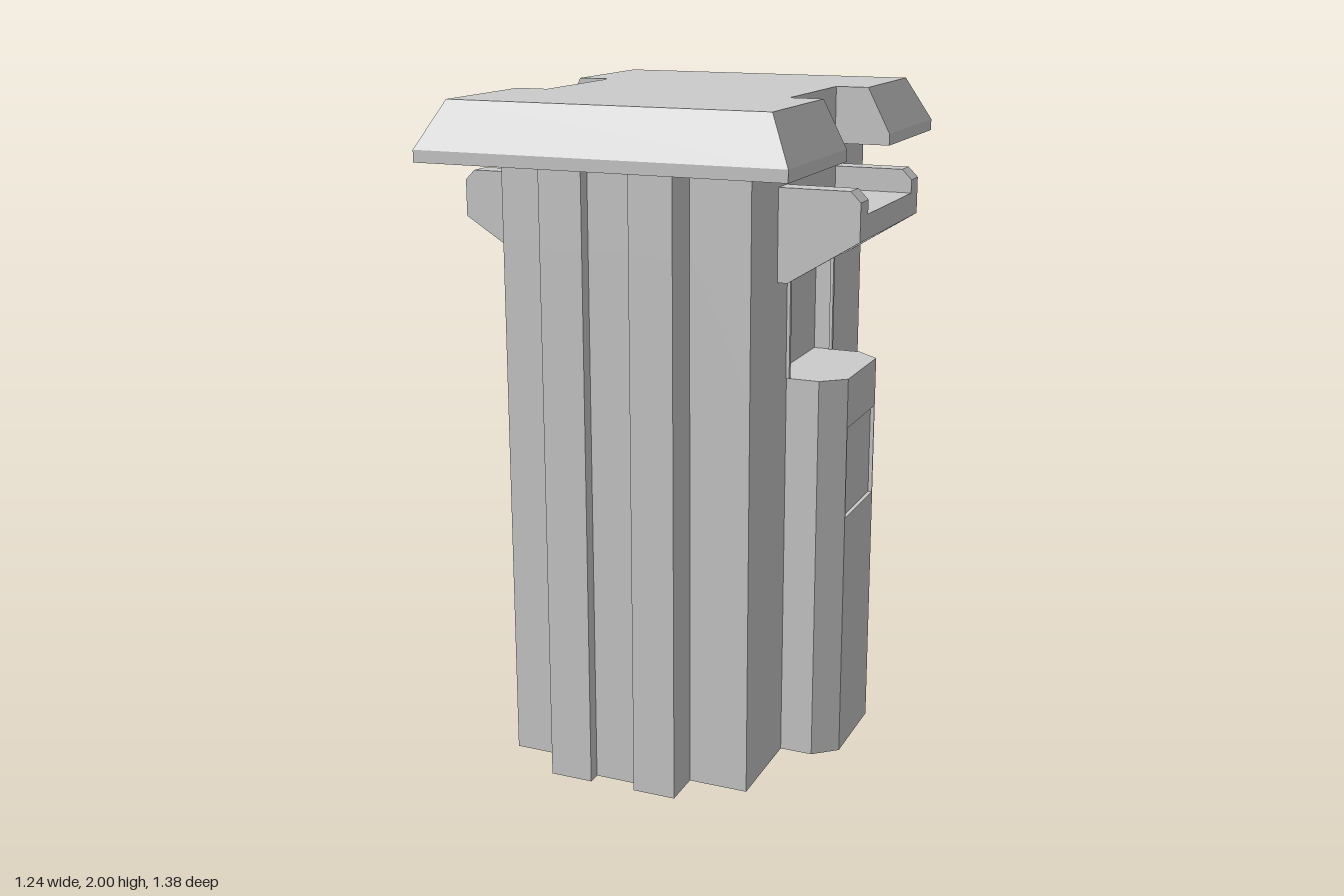
import * as THREE from 'three';

const mat = new THREE.MeshStandardMaterial({ color: 0xcccccc, flatShading: true, side: THREE.DoubleSide });

const shapeOf = (pts) => new THREE.Shape(pts.map(([a, b]) => new THREE.Vector2(a, b)));

function add(parent, name, geometry) {
  const mesh = new THREE.Mesh(geometry, mat);
  mesh.name = name;
  parent.add(mesh);
  return mesh;
}

// Upright walls along an (x, z) outline, open at top and bottom
function walls(pts, y0, y1, closed = true) {
  const pos = [];
  const n = pts.length;
  for (let i = 0; i < (closed ? n : n - 1); i++) {
    const [ax, az] = pts[i];
    const [bx, bz] = pts[(i + 1) % n];
    pos.push(ax, y0, az, ax, y1, az, bx, y1, bz, ax, y0, az, bx, y1, bz, bx, y0, bz);
  }
  const g = new THREE.BufferGeometry();
  g.setAttribute('position', new THREE.Float32BufferAttribute(pos, 3));
  g.computeVertexNormals();
  return g;
}

// Horizontal surface with an (x, z) outline
function flat(pts, y) {
  const g = new THREE.ShapeGeometry(shapeOf(pts.map(([x, z]) => [x, -z])));
  return g.rotateX(-Math.PI / 2).translate(0, y, 0);
}

// Side pedestal with a shallow inset panel on its outer face
function pedestal(name, base, shoulder, outer) {
  const g = new THREE.Group();
  g.name = name;
  const p = 0.135, d = outer - 0.012;
  const half = [[base, 0.2], [shoulder, 0.2], [outer, 0.14]];
  if (shoulder === base) half.shift();
  const back = half.map(([x, z]) => [x, -z]).reverse();
  const plain = [...half, ...back];
  const notch = [[outer, p], [d, p], [d, -p], [outer, -p]];
  add(g, 'pedestalLower', walls(plain, 0, 0.76, false));
  add(g, 'insetPanel', walls([...half, ...notch, ...back], 0.76, 1.04, false));
  add(g, 'pedestalUpper', walls(plain, 1.04, 1.19, false));
  add(g, 'pedestalTop', flat(plain, 1.19));
  for (const y of [0.76, 1.04]) add(g, 'panelLedge', flat(notch, y));
  return g;
}

// Shelf held between two end brackets, with a small lamp beneath
function shelf(name) {
  const g = new THREE.Group();
  g.name = name;
  add(g, 'shelfBoard', new THREE.BoxGeometry(0.24, 0.07, 0.44)).position.set(0.5, 1.655, 0);
  const profile = shapeOf([[0.38, 1.49], [0.41, 1.49], [0.62, 1.62], [0.62, 1.73], [0.59, 1.76], [0.38, 1.76]]);
  for (const z of [-0.29, 0.22]) {
    add(g, 'shelfBracket', new THREE.ExtrudeGeometry(profile, { depth: 0.07, bevelEnabled: false })).position.z = z;
  }
  add(g, 'shelfLamp', new THREE.BoxGeometry(0.07, 0.01, 0.07)).position.set(0.5, 1.615, 0);
  return g;
}

export function createModel() {
  const model = new THREE.Group();
  model.name = 'booth';

  // Ribbed hollow body, with an alcove cut into the left wall
  const quarter = [[0.38, 0.5], [0.2, 0.5], [0.2, 0.62], [0.07, 0.62], [0.07, 0.58]];
  const front = [...quarter, ...quarter.map(([x, z]) => [-x, z]).reverse()];
  const ring = [...front, ...front.map(([x, z]) => [-x, -z])];
  const alcove = [[0.38, -0.2], [0.33, -0.2], [0.33, 0.2], [0.38, 0.2]];
  add(model, 'bodyLower', walls(ring, 0, 1.19));
  add(model, 'bodyMiddle', walls([...ring, ...alcove], 1.19, 1.6));
  add(model, 'bodyUpper', walls(ring, 1.6, 1.84));
  add(model, 'alcoveFloor', flat(alcove, 1.19));
  add(model, 'alcoveCeiling', flat(alcove, 1.6));

  // Cut corners and thin trim of the alcove opening
  for (const s of [-1, 1]) {
    const corner = shapeOf([[0.2 * s, 1.52], [0.2 * s, 1.6], [0.13 * s, 1.6]]);
    const g = new THREE.ExtrudeGeometry(corner, { depth: 0.05, bevelEnabled: false });
    add(model, 'alcoveCorner', g.rotateY(Math.PI / 2).translate(0.33, 0, 0));
  }
  const arch = (w, t, y) => [[w, y], [w, t - 0.085], [w - 0.07, t], [0.07 - w, t], [-w, t - 0.085], [-w, y]];
  const trim = shapeOf([...arch(0.205, 1.605, 1.19), ...arch(0.192, 1.59, 1.19).reverse()]);
  const trimGeo = new THREE.ExtrudeGeometry(trim, { depth: 0.01, bevelEnabled: false });
  add(model, 'alcoveTrim', trimGeo.rotateY(Math.PI / 2).translate(0.38, 0, 0));

  // Pedestals: deep on the left, shallow on the right
  model.add(pedestal('leftPedestal', 0.38, 0.48, 0.55));
  const rightPedestal = pedestal('rightPedestal', 0.38, 0.38, 0.45);
  rightPedestal.rotation.y = Math.PI;
  model.add(rightPedestal);

  // Shelves on both sides
  model.add(shelf('leftShelf'));
  const rightShelf = shelf('rightShelf');
  rightShelf.rotation.y = Math.PI;
  model.add(rightShelf);

  // Notched roof slab whose rim slopes in above a short upright edge
  const side = [[0.55, -0.69], [0.55, -0.21], [0.38, -0.21], [0.38, 0.21], [0.55, 0.21], [0.55, 0.69]];
  const roofShape = shapeOf([...side, ...side.map(([x, z]) => [-x, -z])]);
  const roof = new THREE.ExtrudeGeometry(roofShape, { depth: 0.17, steps: 2, bevelEnabled: false });
  roof.rotateX(-Math.PI / 2);
  const p = roof.attributes.position;
  for (let i = 0; i < p.count; i++) {
    const x = p.getX(i), y = p.getY(i), z = p.getZ(i);
    if (y > 0.16) {
      if (Math.abs(x) > 0.5) p.setX(i, Math.sign(x) * 0.48);
      if (Math.abs(z) > 0.5) p.setZ(i, Math.sign(z) * 0.62);
    } else if (y > 0.01) p.setY(i, 0.035);
  }
  roof.computeVertexNormals();
  add(model, 'roof', roof.translate(0, 1.83, 0));

  return model;
}
